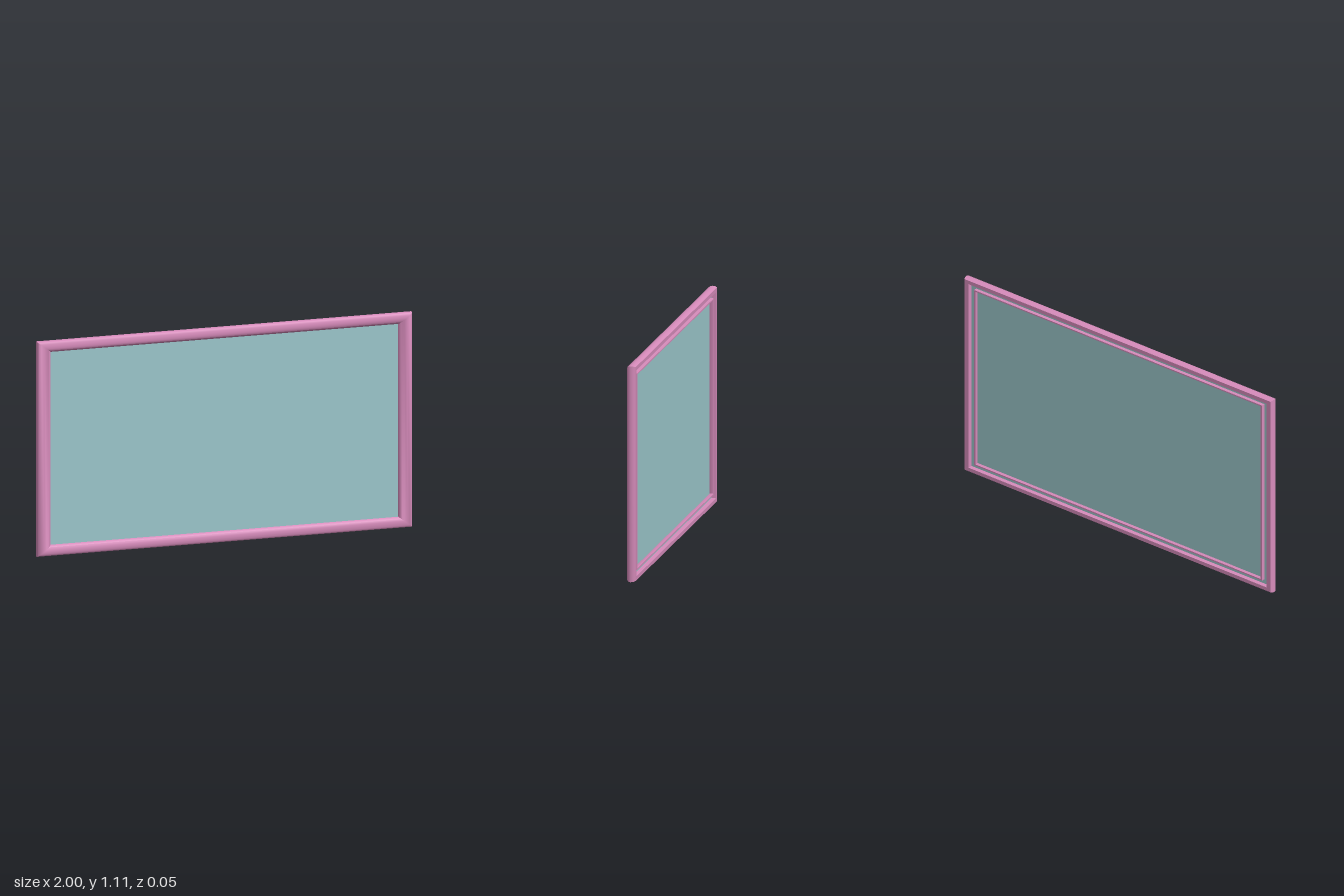
import * as THREE from 'three';
import { toCreasedNormals } from 'three/addons/utils/BufferGeometryUtils.js';

const HALF_W = 1, HALF_H = 0.554;      // outer half sizes
const RAIL_X = 0.074, RAIL_Y = 0.057;  // widths of upright and level rails

// Moulding section: [inset as a fraction of the rail width, z]
const SECTION = [
  [0.10, -0.025], [0.02, -0.013], [0, 0], [0.03, 0.01], [0.1, 0.017], // outer edge
  [0.25, 0.022], [0.45, 0.025], [0.65, 0.023], [0.83, 0.017], [0.95, 0.01], [1, 0.005], // rounded face
  [1, -0.02], [0.88, -0.02],                                          // inner lip
  [0.88, 0.001], [0.45, 0.001], [0.45, -0.025],                       // rear channel
];

// Sweeps the section round a rectangle with mitred corners
function mitredFrame(section) {
  const corners = [[1, -1], [1, 1], [-1, 1], [-1, -1]];
  const point = (i, j) => {
    const [sx, sy] = corners[i % 4];
    const [u, z] = section[j % section.length];
    return [sx * (HALF_W - u * RAIL_X), sy * (HALF_H - u * RAIL_Y), z];
  };
  const positions = [];
  for (let i = 0; i < 4; i++) {
    for (let j = 0; j < section.length; j++) {
      const a = point(i, j), b = point(i + 1, j), c = point(i + 1, j + 1), d = point(i, j + 1);
      positions.push(...a, ...b, ...c, ...a, ...c, ...d);
    }
  }
  const geometry = new THREE.BufferGeometry();
  geometry.setAttribute('position', new THREE.Float32BufferAttribute(positions, 3));
  return toCreasedNormals(geometry, 0.75);
}

function addPart(group, name, geometry, color, z = 0) {
  const mesh = new THREE.Mesh(geometry, new THREE.MeshStandardMaterial({ color }));
  mesh.name = name;
  mesh.position.set(0, HALF_H, z);
  group.add(mesh);
}

export function createModel() {
  const group = new THREE.Group();
  group.name = 'framedPanel';

  // Hollow-backed moulding
  addPart(group, 'frame', mitredFrame(SECTION), 0xd88cbc);

  // Thin panel held inside the moulding, also showing in the rear channel
  const panel = new THREE.BoxGeometry(2 * (HALF_W - 0.44 * RAIL_X), 2 * (HALF_H - 0.44 * RAIL_Y), 0.004);
  addPart(group, 'panel', panel, 0x9cc8cc, 0.001);

  return group;
}
